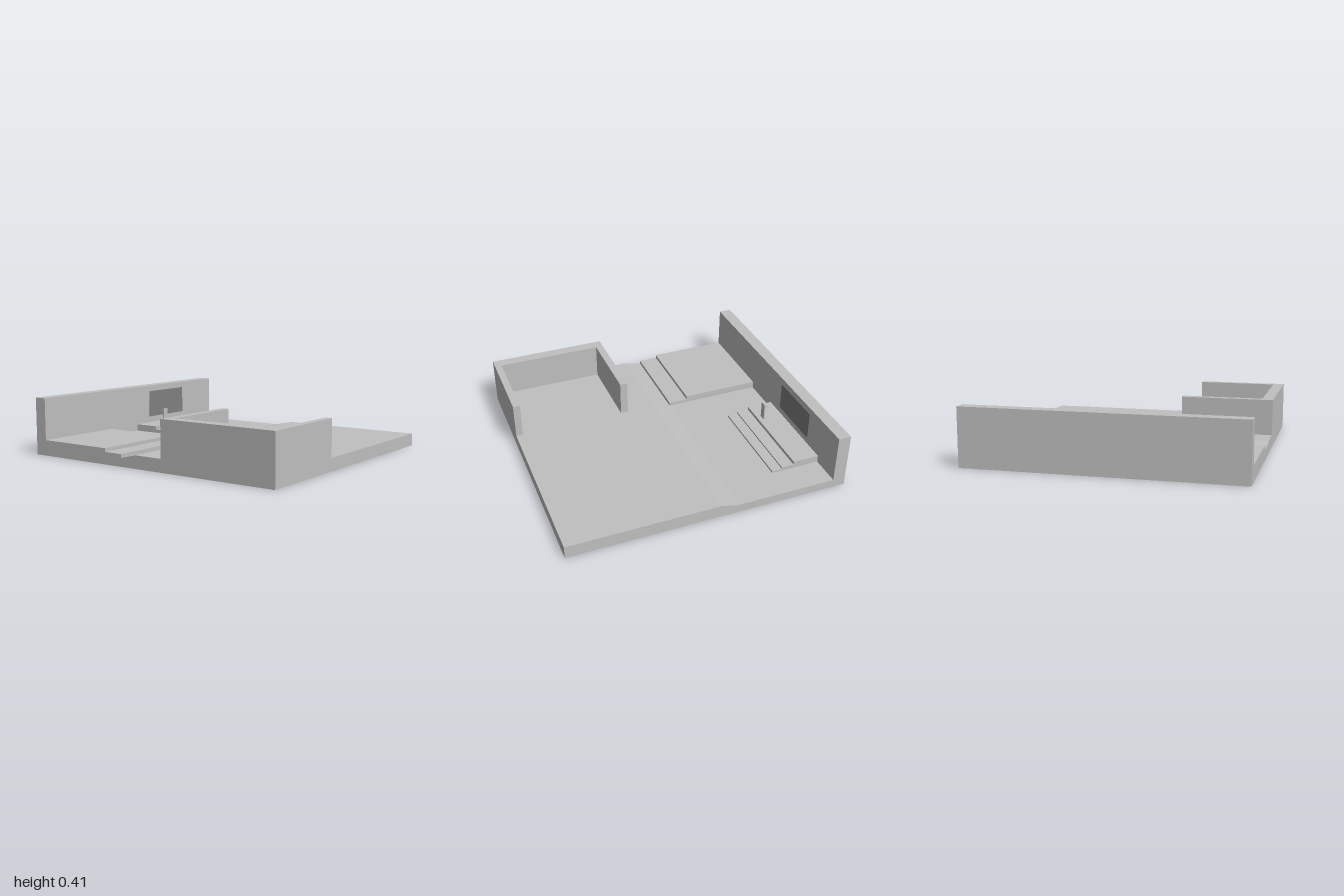
import * as THREE from 'three';

export function createModel() {
  const group = new THREE.Group();
  const concrete = new THREE.MeshStandardMaterial({ color: 0xc0c0c0 });
  concrete.name = 'light grey';
  const dark = new THREE.MeshStandardMaterial({ color: 0x808080 });
  dark.name = 'mid grey';

  // Box given by its minimum and maximum corners
  function block(name, [x0, y0, z0], [x1, y1, z1], material = concrete) {
    const mesh = new THREE.Mesh(new THREE.BoxGeometry(x1 - x0, y1 - y0, z1 - z0), material);
    mesh.position.set((x0 + x1) / 2, (y0 + y1) / 2, (z0 + z1) / 2);
    mesh.name = name;
    group.add(mesh);
  }

  // Profile in the x-y plane swept from z0 to z1
  function sweep(name, points, z0, z1) {
    const shape = new THREE.Shape(points.map(([x, y]) => new THREE.Vector2(x, y)));
    const geometry = new THREE.ExtrudeGeometry(shape, { depth: z1 - z0, bevelEnabled: false });
    const mesh = new THREE.Mesh(geometry, concrete);
    mesh.position.z = z0;
    mesh.name = name;
    group.add(mesh);
  }

  const low = 0.06, high = 0.09, edge = 0.95;

  // Floor slab with a gentle ramp between its two levels
  sweep('floor', [[-0.91, 0], [1, 0], [1, high], [-0.07, high], [-0.2, low], [-0.91, low]], -edge, edge);

  // Tall side wall with a screen
  block('sideWall', [-1, 0, -edge], [-0.91, 0.405, edge]);
  block('screen', [-0.91, 0.157, -0.572], [-0.907, 0.36, -0.157], dark);

  // Stepped stage under the screen
  sweep('stage', [
    [-0.91, low], [-0.555, low], [-0.555, 0.074], [-0.63, 0.074],
    [-0.63, 0.086], [-0.72, 0.086], [-0.72, 0.11], [-0.91, 0.11],
  ], -0.73, -0.01);

  // Stepped platform at the front
  sweep('frontPlatform', [
    [-0.91, low], [-0.2, low], [-0.2, 0.085], [-0.34, 0.085], [-0.34, 0.11], [-0.91, 0.11],
  ], 0.29, edge);

  // Lectern with a sloping top
  sweep('lectern', [
    [-0.765, 0.11], [-0.755, 0.11], [-0.755, 0.235], [-0.79, 0.217], [-0.79, 0.213], [-0.765, 0.213],
  ], -0.195, -0.15);

  // U-shaped booth, open towards the back
  const top = 0.345;
  block('boothInnerWall', [0.14, high, 0.29], [0.195, top, edge]);
  block('boothOuterWall', [0.95, high, 0.29], [1, top, edge]);
  block('boothFrontWall', [0.195, high, 0.87], [0.95, top, edge]);

  return group;
}
